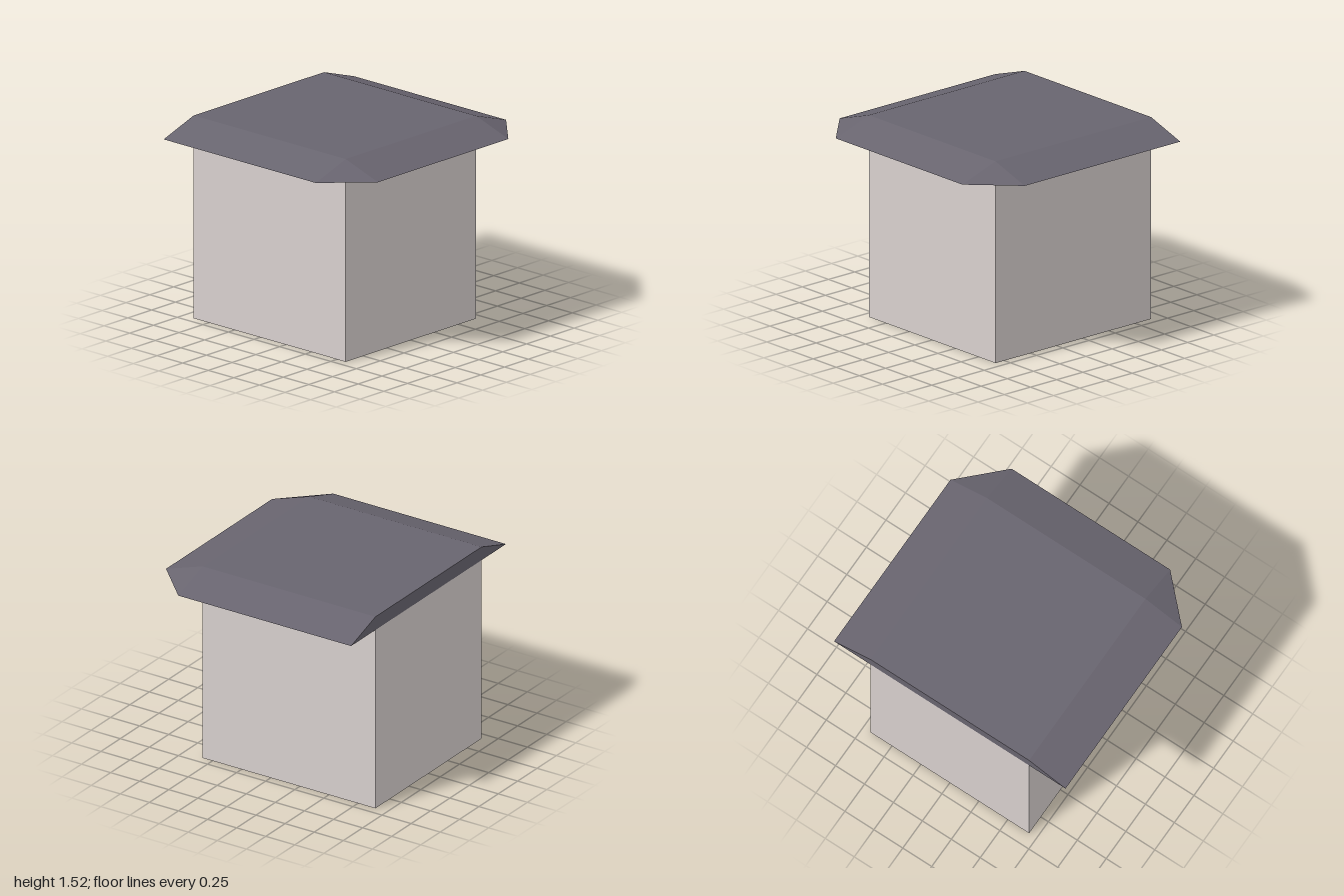
import * as THREE from 'three';
import { ConvexGeometry } from 'three/addons/geometries/ConvexGeometry.js';

const BACK_X = -0.9;       // flat end shared by wall and roof
const WALL_X = 0.585;      // opposite wall
const WALL_Z = 0.685;      // half depth of the walls
const EAVE_X = 0.9;
const EAVE_Z = 1;
const EAVE_Y = 1.42;
const ROOF_Y = 1.525;

export function createModel() {
  const model = new THREE.Group();
  model.name = 'building';

  const wallMaterial = new THREE.MeshStandardMaterial({ color: 0xd8d0ce, flatShading: true });
  const roofMaterial = new THREE.MeshStandardMaterial({ color: 0x68646f, flatShading: true });

  // Plain block of walls
  const walls = new THREE.Mesh(
    new THREE.BoxGeometry(WALL_X - BACK_X, EAVE_Y, WALL_Z * 2),
    wallMaterial
  );
  walls.name = 'walls';
  walls.position.set((WALL_X + BACK_X) / 2, EAVE_Y / 2, 0);
  model.add(walls);

  // Flat-topped roof: sloping eaves on three sides, cut corners, flush flat end
  const points = [];
  for (const side of [-1, 1]) {
    points.push(
      new THREE.Vector3(BACK_X, EAVE_Y, side * EAVE_Z),
      new THREE.Vector3(WALL_X, EAVE_Y, side * EAVE_Z),
      new THREE.Vector3(EAVE_X, EAVE_Y, side * WALL_Z),
      new THREE.Vector3(BACK_X, ROOF_Y, side * WALL_Z),
      new THREE.Vector3(WALL_X, ROOF_Y, side * WALL_Z)
    );
  }
  const roof = new THREE.Mesh(new ConvexGeometry(points), roofMaterial);
  roof.name = 'roof';
  model.add(roof);

  return model;
}
